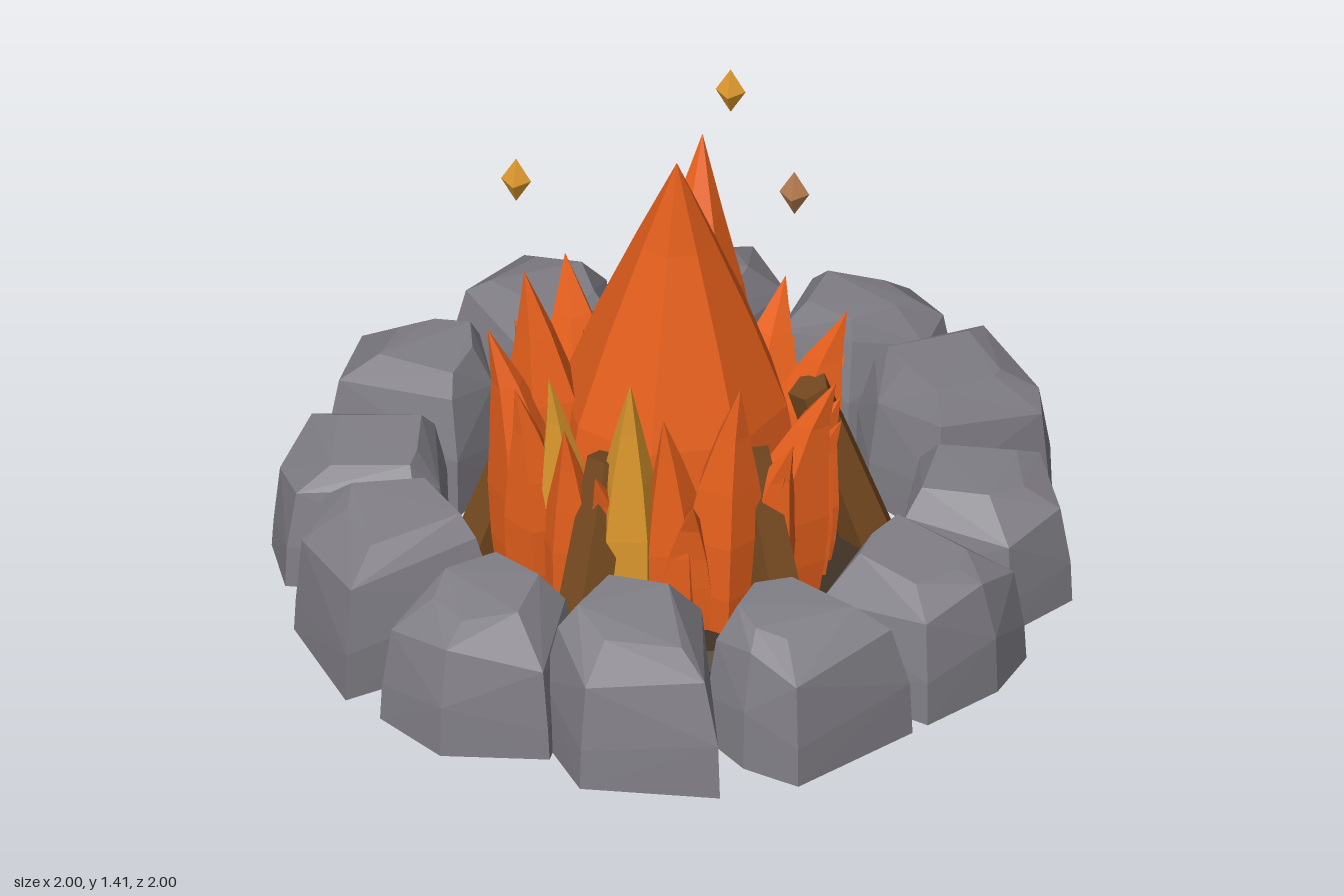
import * as THREE from 'three';
import { ConvexGeometry } from 'three/addons/geometries/ConvexGeometry.js';

const paint = (name, color) => {
  const m = new THREE.MeshStandardMaterial({ color });
  m.name = name;
  return m;
};

// Facet a geometry so every face gets its own flat normal
const faceted = (geo) => {
  const g = geo.index ? geo.toNonIndexed() : geo;
  g.computeVertexNormals();
  return g;
};

export function createModel() {
  const model = new THREE.Group();
  model.name = 'campfire';
  const stoneGrey = paint('stone grey', 0x817f86);
  const flameOrange = paint('flame orange', 0xf0641e);
  const flameAmber = paint('flame amber', 0xe09a2e);
  const emberBrown = paint('ember brown', 0xb57d50);
  const woodBrown = paint('wood brown', 0x744920);
  const ashBrown = paint('ash brown', 0x403225);

  const add = (name, geo, mat, parent = model) => {
    const mesh = new THREE.Mesh(geo, mat);
    mesh.name = name;
    parent.add(mesh);
    return mesh;
  };
  const group = (name) => {
    const g = new THREE.Group();
    g.name = name;
    model.add(g);
    return g;
  };

  // Ash bed: a low mound with twelve sides
  const ash = new THREE.LatheGeometry(
    [[0, 0.02], [0.54, 0.02], [0.54, 0.06], [0.49, 0.09], [0, 0.11]].map(([x, y]) => new THREE.Vector2(x, y)), 12);
  add('ashBed', faceted(ash), ashBrown);

  // Stone ring: each boulder is a hull over a footprint, an uneven shoulder and a shifted crown
  const stones = group('stoneRing');
  let count = 0;
  const stone = (h, ...corners) => {
    const n = corners.length;
    const cx = corners.reduce((s, c) => s + c[0], 0) / n;
    const cz = corners.reduce((s, c) => s + c[1], 0) / n;
    const pts = [];
    corners.forEach(([x, z], i) => {
      const wobble = ((i * 3 + count * 2) % 5 - 2) / 2;
      const outward = (x * cx + z * cz) / (cx * cx + cz * cz) - 1;
      const ring = (y, s, shift = 0) => pts.push(new THREE.Vector3(
        cx * (1 - shift) + (x - cx) * s, y, cz * (1 - shift) + (z - cz) * s));
      ring(0.02, 1);
      ring(h * (0.36 + wobble * 0.1), 0.98);
      ring(h * (0.77 + wobble * 0.08), 0.86 - wobble * 0.05);
      ring(h - 0.008 - Math.max(0, outward) * 0.1, 0.54 + wobble * 0.06, 0.03);
    });
    count++;
    add('stone' + count, faceted(new ConvexGeometry(pts)), stoneGrey, stones);
  };
  stone(0.42, [-0.31, -0.98], [0.02, -1], [0.14, -0.84], [0.07, -0.53], [-0.24, -0.51], [-0.3, -0.72]);
  stone(0.42, [0.14, -0.9], [0.41, -0.95], [0.56, -0.77], [0.52, -0.66], [0.33, -0.54], [0.1, -0.62]);
  stone(0.42, [0.64, -0.77], [0.85, -0.53], [0.86, -0.46], [0.62, -0.24], [0.41, -0.39], [0.35, -0.53]);
  stone(0.38, [0.55, -0.25], [0.9, -0.29], [1, -0.06], [0.88, 0.11], [0.57, 0.11]);
  stone(0.39, [0.58, 0.08], [0.94, 0.21], [0.9, 0.37], [0.76, 0.55], [0.44, 0.43], [0.5, 0.25]);
  stone(0.41, [0.43, 0.42], [0.73, 0.59], [0.5, 0.88], [0.35, 0.83], [0.23, 0.72], [0.25, 0.51]);
  stone(0.42, [-0.1, 0.54], [0.2, 0.53], [0.32, 0.97], [-0.03, 1], [-0.17, 0.8]);
  stone(0.39, [-0.35, 0.46], [-0.12, 0.57], [-0.13, 0.89], [-0.4, 0.93], [-0.58, 0.8], [-0.53, 0.62]);
  stone(0.42, [-0.53, 0.2], [-0.35, 0.46], [-0.68, 0.74], [-0.87, 0.46], [-0.85, 0.3]);
  stone(0.37, [-0.6, -0.13], [-0.54, 0.14], [-0.58, 0.25], [-0.93, 0.28], [-1, 0.11], [-0.97, -0.11]);
  stone(0.4, [-0.74, -0.55], [-0.57, -0.49], [-0.5, -0.3], [-0.57, -0.1], [-0.93, -0.2], [-0.91, -0.48]);
  stone(0.42, [-0.57, -0.86], [-0.33, -0.83], [-0.25, -0.58], [-0.47, -0.4], [-0.7, -0.59]);

  // Logs standing steeply around the fire, leaning in
  const logs = group('logs');
  [[0.11, -0.5], [-0.36, -0.36], [-0.49, 0.1], [-0.15, 0.48], [0.37, 0.34], [0.49, -0.14]].forEach(([x, z], i) => {
    const foot = new THREE.Vector3(x, 0.03, z);
    const head = new THREE.Vector3(x * 0.66, 0.55, z * 0.66);
    const log = add('log' + (i + 1), faceted(new THREE.CylinderGeometry(0.055, 0.075, foot.distanceTo(head), 5)), woodBrown, logs);
    log.position.lerpVectors(foot, head, 0.5);
    log.quaternion.setFromUnitVectors(new THREE.Vector3(0, 1, 0), head.clone().sub(foot).normalize());
  });

  // Flames: cones swollen along their length and bent towards their tip
  const flames = group('flames');
  const flame = (name, [bx, bz], r, [tx, ty, tz], mat = flameOrange, sides = 5, swell = [0.85, 1, 0.98, 0.74, 0.38, 0]) => {
    const geo = new THREE.ConeGeometry(1, 1, sides, 5);
    const p = geo.attributes.position;
    for (let i = 0; i < p.count; i++) {
      const t = p.getY(i) + 0.5;
      const a = Math.atan2(p.getX(i), p.getZ(i)) + bx * 9;
      const hub = Math.hypot(p.getX(i), p.getZ(i)) < 1e-6;
      const rad = hub ? 0 : r * swell[Math.round(t * 5)];
      const bend = t ** 2.4;
      p.setXYZ(i,
        bx + (tx - bx) * bend + Math.sin(a) * rad,
        0.05 + (ty - 0.05) * t,
        bz + (tz - bz) * bend + Math.cos(a) * rad);
    }
    add(name, faceted(geo), mat, flames);
  };
  flame('mainFlame', [0, 0], 0.33, [0.03, 1.32, 0.11], flameOrange, 8, [0.85, 1, 0.87, 0.6, 0.3, 0]);
  flame('backFlame', [-0.02, -0.29], 0.17, [-0.02, 1.03, -0.44], flameOrange, 6);
  flame('frontAmberFlame', [-0.05, 0.33], 0.09, [-0.03, 0.83, 0.39], flameAmber);
  flame('sideAmberFlame', [-0.22, 0.26], 0.075, [-0.25, 0.78, 0.33], flameAmber);

  // Ring of side flames: base, radius, tip
  [
    [[-0.29, 0.09], 0.13, [-0.36, 0.93, 0.1]],
    [[-0.31, 0.2], 0.11, [-0.43, 0.82, 0.21]],
    [[-0.3, -0.08], 0.12, [-0.42, 0.66, -0.07]],
    [[-0.27, -0.2], 0.13, [-0.34, 0.72, -0.3]],
    [[-0.15, -0.3], 0.12, [-0.22, 0.64, -0.42]],
    [[0.15, -0.28], 0.13, [0.2, 0.66, -0.4]],
    [[0.27, -0.18], 0.13, [0.4, 0.72, -0.19]],
    [[0.29, -0.03], 0.12, [0.42, 0.58, -0.02]],
    [[0.29, 0.1], 0.12, [0.44, 0.73, 0.13]],
    [[0.25, 0.21], 0.11, [0.36, 0.62, 0.27]],
    [[0.18, 0.28], 0.11, [0.24, 0.82, 0.34]],
    [[0.07, 0.31], 0.09, [0.05, 0.72, 0.37]],
    [[-0.19, 0.32], 0.08, [-0.2, 0.66, 0.38]],
    [[-0.28, 0.26], 0.09, [-0.34, 0.72, 0.31]],
  ].forEach(([base, r, tip], i) => flame('sideFlame' + (i + 1), base, r, tip));

  // Small tongues licking outwards
  for (let i = 0; i < 11; i++) {
    const a = (i + 0.55) * Math.PI * 2 / 11;
    const s = Math.sin(a), c = Math.cos(a);
    flame('flameTongue' + (i + 1), [s * 0.32, c * 0.32], 0.09, [s * 0.44, 0.5 + (i * 5 % 4) * 0.03, c * 0.44], flameOrange, 4);
  }

  // Sparks floating above
  const sparks = group('sparks');
  [[-0.385, 1.19, 0.08, flameAmber], [0.105, 1.35, -0.185, flameAmber], [0.33, 1.275, 0.115, emberBrown]].forEach(([x, y, z, mat], i) => {
    const spark = add('spark' + (i + 1), new THREE.OctahedronGeometry(1), mat, sparks);
    spark.scale.set(0.038, 0.064, 0.038);
    spark.position.set(x, y, z);
  });

  return model;
}
